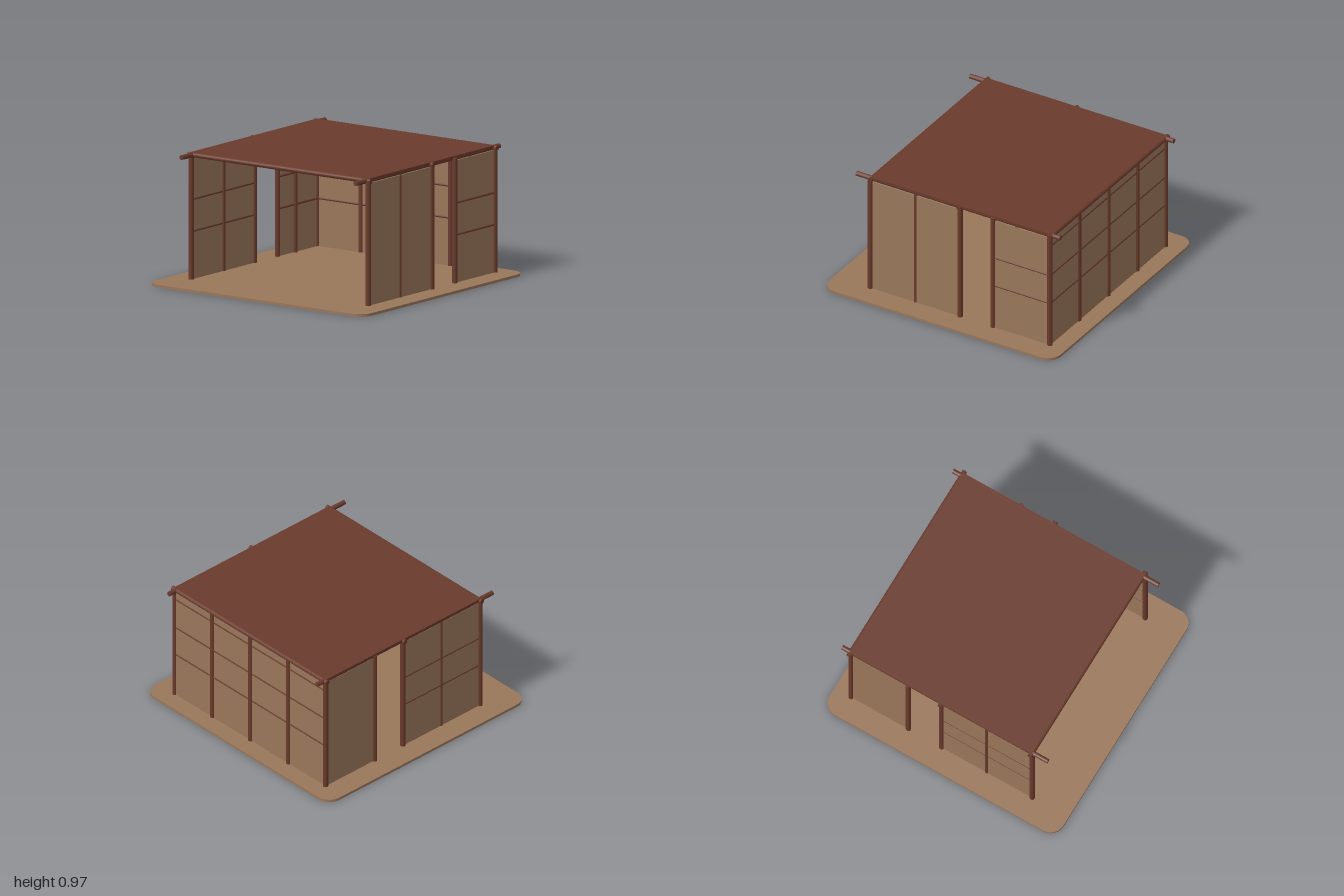
import * as THREE from 'three';

export function createModel() {
  const model = new THREE.Group();
  model.name = 'openPavilion';
  const tan = new THREE.MeshStandardMaterial({ color: 0x9a775b });
  tan.name = 'tan panel';
  const wood = new THREE.MeshStandardMaterial({ color: 0x6a3a2c });
  wood.name = 'dark wood';

  const add = (name, geometry, material, x, y, z) => {
    const mesh = new THREE.Mesh(geometry, material);
    mesh.name = name;
    mesh.position.set(x, y, z);
    model.add(mesh);
    return mesh;
  };
  const box = (name, material, w, h, d, x, y, z) =>
    add(name, new THREE.BoxGeometry(w, h, d), material, x, y, z);

  // Round timber: upright, across (x) or front to back (z)
  const post = (name, r, top, x, z) =>
    add(name, new THREE.CylinderGeometry(r, r, top - 0.02, 12), wood, x, (top + 0.02) / 2, z);
  const poleX = (name, r, x0, x1, y, z) => {
    const g = new THREE.CylinderGeometry(r, r, x1 - x0, 12).rotateZ(Math.PI / 2);
    return add(name, g, wood, (x0 + x1) / 2, y, z);
  };
  const poleZ = (name, r, z0, z1, y, x) => {
    const g = new THREE.CylinderGeometry(r, r, z1 - z0, 12).rotateX(Math.PI / 2);
    return add(name, g, wood, x, y, (z0 + z1) / 2);
  };

  // Floor slab with rounded corners
  const s = new THREE.Shape();
  const r = 0.11;
  s.absarc(1 - r, 1 - r, r, 0, Math.PI / 2);
  s.absarc(r - 1, 1 - r, r, Math.PI / 2, Math.PI);
  s.absarc(r - 1, r - 1, r, Math.PI, Math.PI * 1.5);
  s.absarc(1 - r, r - 1, r, Math.PI * 1.5, Math.PI * 2);
  s.closePath();
  const slab = new THREE.ExtrudeGeometry(s, { depth: 0.02, bevelEnabled: false, curveSegments: 8 });
  add('floor', slab.rotateX(-Math.PI / 2), tan, 0, 0, 0);

  // Back wall: panel, inner posts and rails
  box('backPanel', tan, 1.62, 0.92, 0.01, 0, 0.48, -0.86);
  for (const x of [-0.415, -0.005, 0.41]) post('backPost', 0.02, 0.945, x, -0.86);
  for (const y of [0.38, 0.62, 0.87]) poleX('backRail', 0.0095, -0.81, 0.81, y, -0.86);

  // Side walls with a doorway between the two panels
  for (const side of [-1, 1]) {
    const label = side > 0 ? 'left' : 'right';
    const x = side * 0.815;
    for (const z of [0.69, -0.085, -0.37, -0.86]) post(label + 'Post', 0.02, 0.96, x + side * 0.002, z);
    post(label + 'MiddlePost', 0.015, 0.945, side * 0.812, 0.3);
    post(label + 'InnerPost', 0.015, 0.945, side * 0.803, -0.57);
    box(label + 'FrontPanel', tan, 0.01, 0.92, 0.775, x, 0.48, 0.3025);
    box(label + 'BackPanel', tan, 0.01, 0.92, 0.49, x, 0.48, -0.615);
    for (const y of [0.38, 0.62]) {
      const frontX = side > 0 ? 0.81 : -0.815;
      const backX = side > 0 ? 0.816 : -0.81;
      poleZ(label + 'FrontRail', 0.0085, -0.085, 0.69, y, frontX);
      poleZ(label + 'BackRail', 0.0085, -0.86, -0.37, y, backX);
    }
  }

  // Roof frame: two long beams and three cross beams
  poleZ('roofBeam', 0.0185, -0.94, 0.82, 0.956, -0.808);
  poleZ('roofBeam', 0.0185, -0.94, 0.82, 0.956, 0.797);
  for (const z of [-0.865, -0.085, 0.685]) poleX('crossBeam', 0.0185, -0.845, 0.838, 0.956, z);

  // Roof sheet and the battens below it
  box('roofSheet', wood, 1.643, 0.018, 1.555, -0.005, 0.965, -0.09);
  for (const z of [-0.67, -0.475, -0.28, 0.11, 0.3, 0.495]) {
    poleX('batten', 0.009, -0.81, 0.81, 0.95, z);
  }
  return model;
}
